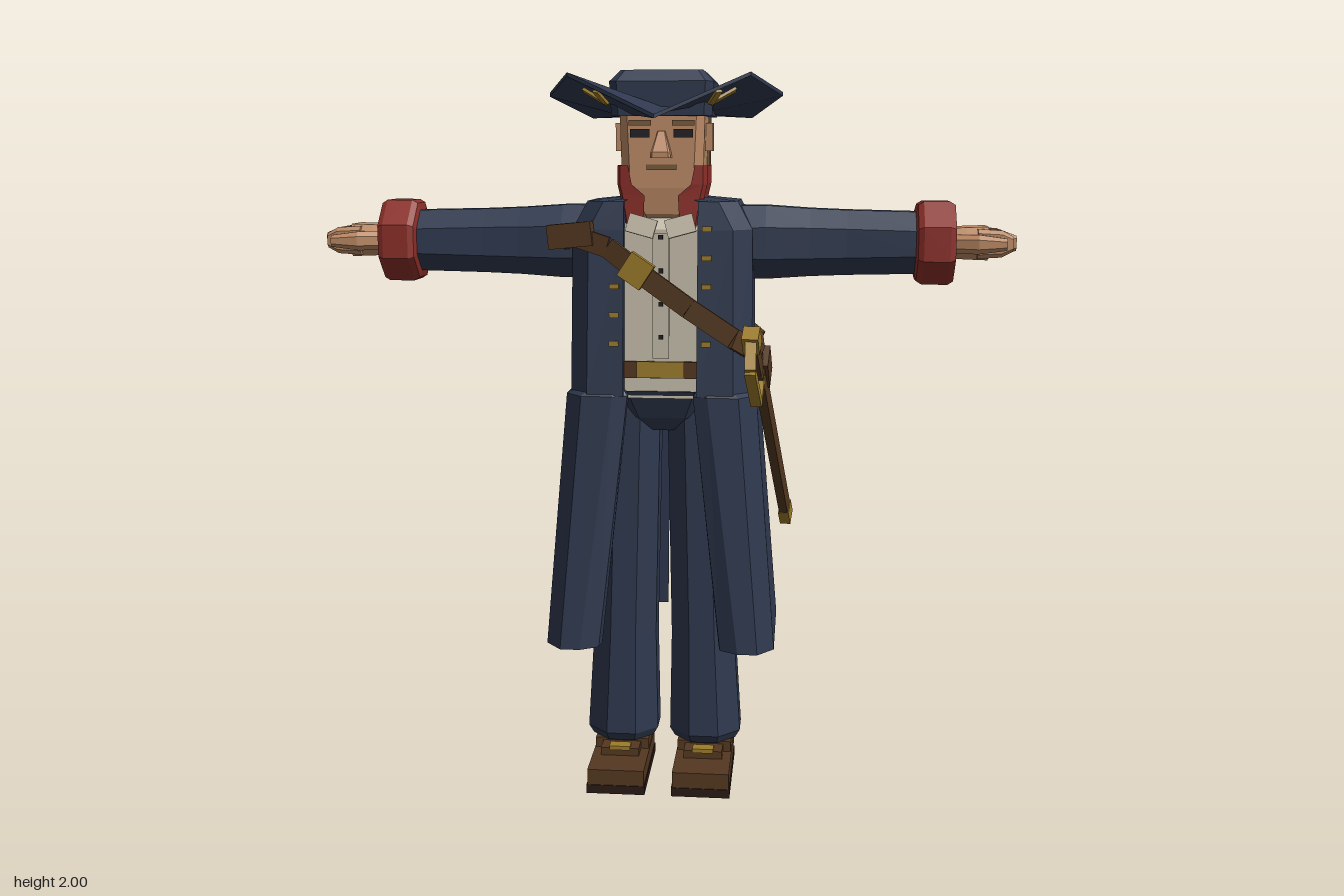
import * as THREE from 'three';

const V = (x, y, z) => new THREE.Vector3(x, y, z);
const mat = (name, color) => {
  const m = new THREE.MeshStandardMaterial({ color, flatShading: true, side: THREE.DoubleSide });
  m.name = name;
  return m;
};

// Skin through a list of rings (each an array of points, anticlockwise from above)
function loft(rings, closed = true, caps = true) {
  const pos = [], n = rings[0].length;
  const tri = (...p) => p.forEach(v => pos.push(v.x, v.y, v.z));
  for (let r = 0; r < rings.length - 1; r++) {
    const a = rings[r], b = rings[r + 1];
    for (let i = 0; i < (closed ? n : n - 1); i++) {
      const j = (i + 1) % n;
      tri(a[i], a[j], b[j]);
      tri(a[i], b[j], b[i]);
    }
  }
  if (closed && caps) {
    const lo = rings[0], hi = rings[rings.length - 1];
    for (let i = 1; i < n - 1; i++) {
      tri(lo[0], lo[i + 1], lo[i]);
      tri(hi[0], hi[i], hi[i + 1]);
    }
  }
  const g = new THREE.BufferGeometry();
  g.setAttribute('position', new THREE.Float32BufferAttribute(pos, 3));
  g.computeVertexNormals();
  return g;
}

// Chamfered rectangle ring at height y
function oct(y, hx, hz, cx = 0, cz = 0, c = 0.3) {
  const k = Math.min(hx, hz) * 2 * c;
  return [[hx, hz - k], [hx, k - hz], [hx - k, -hz], [k - hx, -hz], [-hx, k - hz], [-hx, hz - k], [k - hx, hz], [hx - k, hz]]
    .map(([x, z]) => V(cx + x, y, cz + z));
}
// Open outline: left half [x, z] from the front round to the back, then its mirror image
const sym = (y, half) => [...half.map(([x, z]) => V(x, y, z)), ...half.slice().reverse().map(([x, z]) => V(-x, y, z))];

export function createModel() {
  const navy = mat('navy cloth', 0x2f394f), skin = mat('skin', 0xbb8964), red = mat('red trim', 0x8c2f29);
  const cream = mat('cream shirt', 0xc3bba8), leather = mat('brown leather', 0x543820), gold = mat('gold', 0x9d7c2b);
  const hair = mat('brown hair', 0x76593a), dark = mat('near black', 0x1f1c20), sole = mat('dark sole', 0x2b1b16);
  const model = new THREE.Group();
  model.name = 'coatedSwordsman';

  const add = (name, geo, m, parent = model) => {
    const mesh = new THREE.Mesh(geo, m);
    mesh.name = name;
    parent.add(mesh);
    return mesh;
  };
  const box = (name, m, w, h, d, x, y, z, parent) =>
    add(name, new THREE.BoxGeometry(w, h, d).translate(x, y, z), m, parent);
  // Straight bar from a to b; its flat side faces out
  const bar = (name, m, a, b, w, t, out, parent) => {
    const d = b.clone().sub(a), len = d.length();
    d.normalize();
    const o = (out || d.clone().cross(V(0, 1, 0))).clone();
    o.addScaledVector(d, -o.dot(d)).normalize();
    const basis = new THREE.Matrix4().makeBasis(o.clone().cross(d), o, d).setPosition(a.clone().add(b).multiplyScalar(0.5));
    return add(name, new THREE.BoxGeometry(w, t, len).applyMatrix4(basis), m, parent);
  };
  const both = (name, build) => [1, -1].forEach(s => {
    const g = new THREE.Group();
    g.name = (s > 0 ? 'left' : 'right') + name;
    g.scale.x = s;
    build(g, s);
    model.add(g);
  });

  // Hat: folded three-cornered brim and low crown
  const brimOut = [[0.32, 1.94, 0], [0.23, 1.885, -0.21], [0, 1.99, -0.31], [-0.23, 1.885, -0.21],
    [-0.32, 1.94, 0], [-0.24, 1.985, 0.2], [0, 1.875, 0.325], [0.24, 1.985, 0.2]].map(p => V(...p));
  const brimIn = brimOut.map((_, i) => V(0.13 * Math.cos(i * Math.PI / 4), 1.885, -0.13 * Math.sin(i * Math.PI / 4)));
  const raise = (r, d) => r.map(p => V(p.x, p.y + d, p.z));
  add('hatBrim', loft([brimIn, raise(brimOut, -0.005), raise(brimOut, 0.005), raise(brimIn, 0.02)], true, false), navy);
  add('hatCrown', loft([oct(1.88, 0.135, 0.13, 0, 0.005, 0.08), oct(1.97, 0.14, 0.135, 0, 0.005, 0.08),
    oct(2, 0.11, 0.11, 0, 0.005, 0.06)]), navy);
  both('HatTrim', g => {
    const p = [V(0.16, 1.94, 0.24), V(0.137, 1.91, 0.2), V(0.2, 1.946, 0.173)];
    bar('trimFront', gold, p[0], p[1], 0.018, 0.008, V(0.4, -1, 0.4), g);
    bar('trimBack', gold, p[1], p[2], 0.018, 0.008, V(0.4, -1, 0.4), g);
  });

  // Head and face
  add('head', loft([oct(1.56, 0.06, 0.065, 0, 0), oct(1.62, 0.075, 0.09, 0, 0.015, 0.2), oct(1.69, 0.11, 0.105, 0, 0.008, 0.12),
    oct(1.9, 0.115, 0.105, 0, 0.008, 0.1)]), skin);
  add('nose', loft([oct(1.77, 0.028, 0.028, 0, 0.13, 0.1), oct(1.785, 0.026, 0.026, 0, 0.132, 0.1),
    oct(1.84, 0.01, 0.008, 0, 0.115, 0.1)]), skin);
  box('mouth', hair, 0.08, 0.014, 0.008, 0, 1.745, 0.113);
  both('FaceSide', g => {
    box('eye', dark, 0.052, 0.022, 0.008, 0.058, 1.835, 0.114, g);
    box('eyebrow', hair, 0.06, 0.014, 0.012, 0.058, 1.862, 0.115, g);
    box('ear', skin, 0.022, 0.075, 0.045, 0.122, 1.825, 0.015, g);
    box('sideHair', hair, 0.008, 0.16, 0.05, 0.116, 1.82, -0.07, g);
  });
  box('backHair', hair, 0.225, 0.2, 0.04, 0, 1.79, -0.09);
  bar('hairKnot', hair, V(0, 1.79, -0.1), V(0, 1.785, -0.2), 0.06, 0.075, V(0, 1, 0));
  box('hairBow', dark, 0.1, 0.035, 0.05, 0, 1.78, -0.165);
  add('ponytail', loft([oct(1.635, 0.018, 0.015, 0, -0.165), oct(1.7, 0.035, 0.03, 0, -0.165), oct(1.79, 0.025, 0.028, 0, -0.165)]), hair);

  // Standing collar, open in front
  const collar = (y, xi, w, zb) => sym(y, [[xi, 0.125], [w - 0.01, 0.122], [w, 0.095], [w, -0.08], [w - 0.03, zb], [0.01, zb]]);
  add('coatCollar', loft([collar(1.58, 0.05, 0.1, -0.125), collar(1.67, 0.045, 0.115, -0.125), collar(1.7, 0.08, 0.122, -0.125),
    collar(1.75, 0.09, 0.122, -0.125)], false), red);

  // Shirt, belt and hips
  add('shirt', loft([oct(1.12, 0.17, 0.14, 0, 0, 0.1), oct(1.58, 0.16, 0.12, 0, 0, 0.1), oct(1.61, 0.08, 0.1, 0, 0, 0.1)]), cream);
  both('ShirtCollar', g => bar('collarWing', cream, V(0.015, 1.58, 0.14), V(0.09, 1.6, 0.135), 0.05, 0.01, V(0, 0.2, 1), g));
  box('shirtPlacket', cream, 0.045, 0.34, 0.01, 0, 1.4, 0.135);
  for (let i = 0; i < 4; i++) box('shirtButton', dark, 0.012, 0.012, 0.008, 0, 1.29 + i * 0.09, 0.143);
  box('belt', leather, 0.3, 0.045, 0.02, 0, 1.2, 0.14);
  box('beltBuckle', gold, 0.13, 0.045, 0.01, 0, 1.202, 0.155);
  add('hips', loft([oct(1.02, 0.05, 0.08), oct(1.06, 0.13, 0.11), oct(1.14, 0.18, 0.145)]), navy);

  // Coat body, open down the front
  const body = (y, xi, xo, zf, zb) => sym(y, [[xi, zf - 0.05], [xi, zf], [xo - 0.05, zf], [xo, zf - 0.05], [xo, zb + 0.05], [xo - 0.05, zb], [0.01, zb]]);
  add('coatBody', loft([body(1.13, 0.1, 0.25, 0.18, -0.18), body(1.58, 0.1, 0.245, 0.15, -0.165),
    body(1.655, 0.1, 0.205, 0.14, -0.16), body(1.665, 0.08, 0.12, 0.1, -0.1)], false), navy);
  // Coat skirt: two flaring halves with a slit at the back
  const skirt = (y, pts) => pts.map(([x, z]) => V(x, y, z));
  both('CoatSkirt', g => {
    add('skirtHalf', loft([
      skirt(0.42, [[0.165, 0.16], [0.17, 0.2], [0.22, 0.23], [0.275, 0.23], [0.32, 0.175], [0.32, -0.18], [0.265, -0.23], [0.012, -0.23]]),
      skirt(1.13, [[0.09, 0.13], [0.09, 0.165], [0.13, 0.185], [0.215, 0.185], [0.262, 0.13], [0.262, -0.13], [0.21, -0.187], [0.002, -0.187]]),
      skirt(1.145, [[0.1, 0.13], [0.1, 0.16], [0.13, 0.17], [0.2, 0.17], [0.24, 0.13], [0.24, -0.13], [0.2, -0.17], [0, -0.17]]),
    ], false), navy, g);
  });
  both('CoatButtons', (g, s) => {
    for (let i = 0; i < (s > 0 ? 5 : 3); i++) {
      box('coatButton', gold, 0.026, 0.014, 0.01, 0.125, 1.275 + i * 0.077, 0.174 - i * 0.005, g);
    }
  });

  // Arms, cuffs and hands, lofted upright then laid along x
  const sideways = rings => loft(rings).rotateZ(-Math.PI / 2).translate(0, 1.542, 0);
  both('Arm', g => {
    add('sleeve', sideways([oct(0.18, 0.1, 0.1), oct(0.28, 0.1, 0.095), oct(0.4, 0.092, 0.085), oct(0.5, 0.088, 0.082), oct(0.72, 0.083, 0.085)]), navy, g);
    add('cuff', sideways([oct(0.685, 0.085, 0.085), oct(0.69, 0.103, 0.103), oct(0.705, 0.112, 0.11), oct(0.775, 0.112, 0.11),
      oct(0.79, 0.103, 0.103), oct(0.79, 0.075, 0.085), oct(0.75, 0.07, 0.08)]), red, g);
    add('palm', sideways([oct(0.74, 0.038, 0.06), oct(0.82, 0.043, 0.072, 0, -0.005), oct(0.88, 0.045, 0.075, 0, -0.005)]), skin, g);
    for (let i = 0; i < 4; i++) {
      const z = -0.062 + i * 0.038, end = 0.945 + (i % 3 ? 0.013 : 0);
      add('finger', sideways([oct(0.85, 0.04, 0.019, 0, z), oct(0.915, 0.036, 0.018, 0, z), oct(end, 0.02, 0.013, 0, z)]), skin, g);
    }
    add('thumb', sideways([oct(0.79, 0.025, 0.022, 0, 0.06), oct(0.85, 0.026, 0.022, 0, 0.08), oct(0.925, 0.016, 0.014, 0, 0.085)]), skin, g);
  });

  // Trousers and shoes
  both('Leg', g => {
    add('trouserLeg', loft([oct(0.1, 0.088, 0.085, 0.12, 0.005), oct(0.125, 0.102, 0.1, 0.12, 0.005), oct(0.42, 0.09, 0.095, 0.113, 0.008),
      oct(1.1, 0.085, 0.095, 0.095, 0.005)]), navy, g);
    box('shoeSole', sole, 0.165, 0.025, 0.315, 0.12, 0.0125, 0.085, g);
    box('shoeToe', leather, 0.16, 0.045, 0.31, 0.12, 0.0475, 0.085, g);
    box('shoeHeel', leather, 0.155, 0.03, 0.145, 0.12, 0.085, 0.005, g);
    box('shoeTongue', leather, 0.11, 0.025, 0.06, 0.12, 0.08, 0.105, g);
    box('shoeBuckle', gold, 0.06, 0.012, 0.035, 0.12, 0.094, 0.122, g);
  });

  // Shoulder strap running round the body
  const path = [[-0.25, 1.57, 0.165], [-0.14, 1.535, 0.18], [-0.06, 1.475, 0.195], [0.08, 1.375, 0.2], [0.2, 1.295, 0.195], [0.27, 1.245, 0.13],
    [0.27, 1.215, -0.05], [0.262, 1.25, -0.14], [0.2, 1.295, -0.185], [0, 1.38, -0.195], [-0.2, 1.45, -0.185], [-0.262, 1.48, -0.13],
    [-0.262, 1.56, 0.12]].map(p => V(...p));
  path.forEach((p, i) => {
    if (i) bar('shoulderStrap', leather, path[i - 1], p, 0.055, 0.016);
  });
  bar('strapPad', leather, V(-0.3, 1.56, 0.165), V(-0.18, 1.572, 0.175), 0.065, 0.04);
  bar('strapBuckle', gold, V(-0.09, 1.495, 0.2), V(-0.03, 1.455, 0.205), 0.075, 0.025);

  // Sheathed sword hanging at the left hip
  const top = V(0.27, 1.2, 0.145), tip = V(0.345, 0.68, -0.31);
  const chape = top.clone().lerp(tip, 0.92);
  bar('scabbard', leather, top, chape, 0.048, 0.026);
  bar('scabbardTip', gold, chape, tip, 0.052, 0.032);
  bar('scabbardMouth', leather, V(0.275, 1.24, 0.12), V(0.28, 1.17, 0.06), 0.075, 0.04);
  bar('swordGrip', leather, V(0.265, 1.19, 0.14), V(0.25, 1.29, 0.215), 0.035, 0.03);
  bar('swordPommel', gold, V(0.252, 1.27, 0.195), V(0.248, 1.315, 0.23), 0.05, 0.045);
  const guard = [V(0.275, 1.245, 0.065), V(0.265, 1.12, 0.205), V(0.25, 1.22, 0.295), V(0.248, 1.305, 0.22)];
  guard.forEach((p, i) => {
    if (i) bar('swordGuard', gold, guard[i - 1], p, 0.02, 0.03);
  });
  return model;
}
